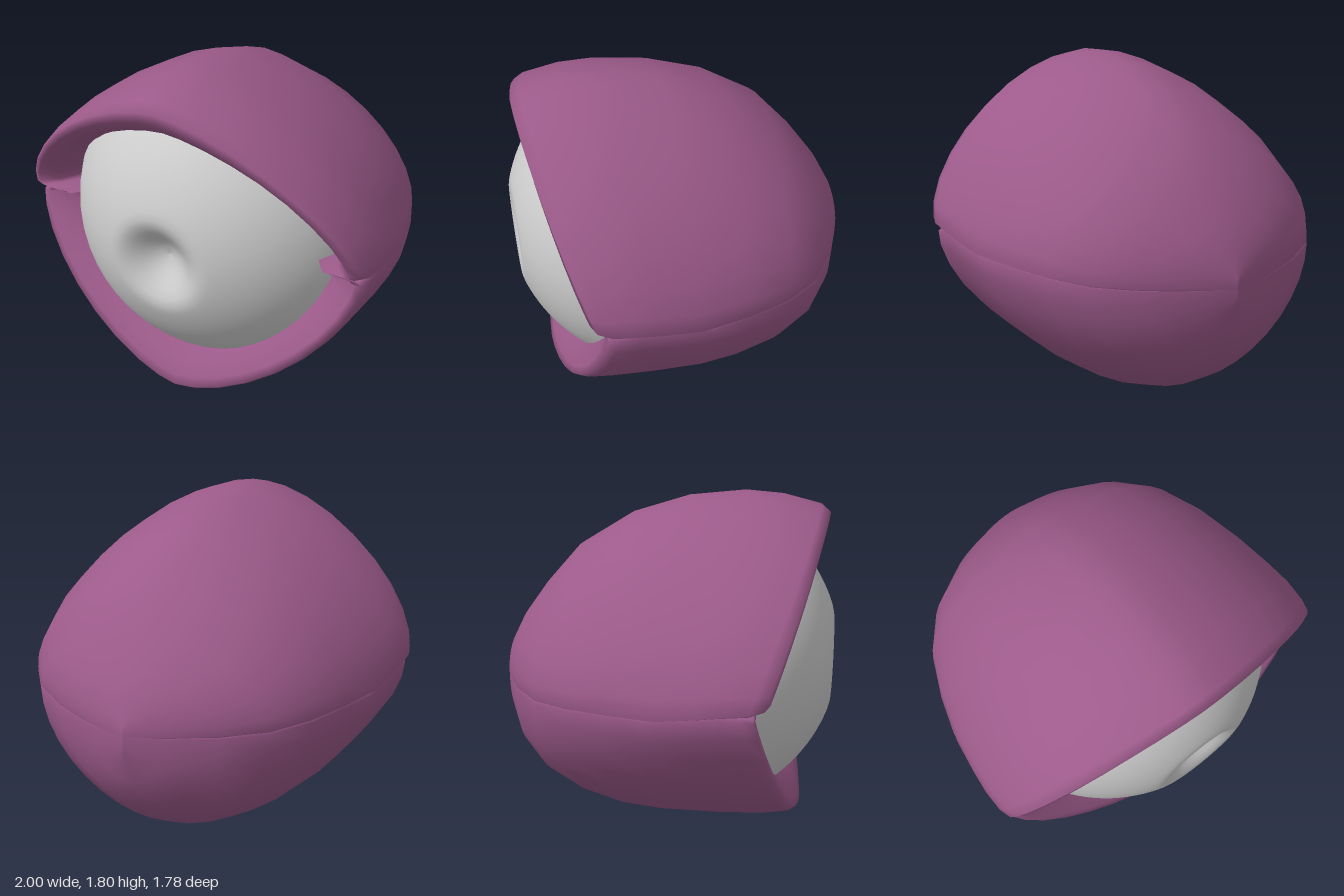
import * as THREE from 'three';

const lidMaterial = new THREE.MeshStandardMaterial({ color: 0x9c5a8a, side: THREE.DoubleSide });
const eyeMaterial = new THREE.MeshStandardMaterial({ color: 0xcccccc });

// Each ring is one tilted arch, from the inner lip over the rim to the back:
// [crown z, crown y, corner z, corner y, half width]
const UPPER_RINGS = [
  [0.50, 1.40, 0.30, 0.96, 0.74], [0.66, 1.55, 0.42, 0.98, 0.80],
  [0.76, 1.57, 0.52, 0.98, 0.86], [0.83, 1.64, 0.60, 0.98, 0.93],
  [0.845, 1.70, 0.57, 0.96, 0.975], [0.80, 1.74, 0.50, 0.94, 0.995],
  [0.60, 1.79, 0.38, 0.93, 1.0], [0.40, 1.805, 0.25, 0.91, 0.99],
  [0.10, 1.77, 0.05, 0.88, 0.965], [-0.20, 1.67, -0.20, 0.875, 0.90],
  [-0.48, 1.49, -0.42, 0.865, 0.81], [-0.66, 1.28, -0.60, 0.845, 0.67],
  [-0.78, 1.11, -0.74, 0.83, 0.46], [-0.85, 0.97, -0.84, 0.815, 0.22],
  [-0.89, 0.84, -0.89, 0.80, 0],
];
const LOWER_RINGS = [
  [0.45, 0.45, 0.30, 0.90, 0.73], [0.60, 0.28, 0.42, 0.90, 0.78],
  [0.68, 0.20, 0.48, 0.90, 0.85], [0.72, 0.12, 0.53, 0.89, 0.93],
  [0.735, 0.07, 0.52, 0.89, 0.97], [0.70, 0.04, 0.46, 0.90, 0.985],
  [0.55, 0.015, 0.36, 0.91, 0.99], [0.30, 0.005, 0.20, 0.89, 0.98],
  [0, 0.01, 0, 0.865, 0.955], [-0.20, 0.035, -0.20, 0.865, 0.90],
  [-0.42, 0.11, -0.42, 0.85, 0.81], [-0.62, 0.225, -0.60, 0.83, 0.67],
  [-0.76, 0.37, -0.74, 0.815, 0.46], [-0.84, 0.53, -0.84, 0.80, 0.22],
  [-0.89, 0.72, -0.89, 0.785, 0],
];

// Skins the arches; side is +1 for the upper lid and -1 for the lower one
function lidGeometry(rings, side) {
  const segments = 18;
  const positions = [];
  const indices = [];
  rings.forEach(([crownZ, crownY, cornerZ, cornerY, width], i) => {
    // pointed arch at the rim, rounder toward the back
    const power = 2 / (1.57 + 0.3 * THREE.MathUtils.smoothstep(i, 7, 13));
    const add = (across, rise, drop = 0) => positions.push(
      across * width * side,
      cornerY + (crownY - cornerY) * rise - drop * side,
      cornerZ + (crownZ - cornerZ) * rise,
    );
    // edges folded inward along the seam
    add(0.85, 0, 0.02);
    add(0.97, 0, 0.015);
    for (let j = 0; j <= segments; j++) {
      const angle = (j / segments) * Math.PI;
      const c = Math.cos(angle);
      add(Math.sign(c) * Math.abs(c) ** power, Math.max(0, Math.sin(angle)) ** power);
    }
    add(-0.97, 0, 0.015);
    add(-0.85, 0, 0.02);
  });
  const columns = segments + 5;
  for (let i = 0; i < rings.length - 1; i++) {
    for (let j = 0; j < columns - 1; j++) {
      const a = i * columns + j;
      const b = a + columns;
      indices.push(a, b, a + 1, a + 1, b, b + 1);
    }
  }
  const geometry = new THREE.BufferGeometry();
  geometry.setAttribute('position', new THREE.Float32BufferAttribute(positions, 3));
  geometry.setIndex(indices);
  geometry.computeVertexNormals();
  return geometry;
}

// Ball with a soft round pit at the front, narrowed behind the lids
function eyeballGeometry() {
  const profile = [];
  const steps = 64;
  for (let i = 0; i <= steps; i++) {
    const angle = Math.PI * (1 - i / steps);
    const radius = 0.85 * (1 - 0.1 * THREE.MathUtils.smoothstep(angle, 1.15, 1.7));
    const r = Math.max(0, radius * Math.sin(angle));
    const inPit = angle < 1 && r < 0.27;
    const pit = inPit ? 0.16 * (0.5 + 0.5 * Math.cos((Math.PI * r) / 0.27)) : 0;
    profile.push(new THREE.Vector2(r, radius * Math.cos(angle) - pit));
  }
  return new THREE.LatheGeometry(profile, 40).rotateX(Math.PI / 2);
}

export function createModel() {
  const model = new THREE.Group();
  model.name = 'eyeWithLids';

  const eyeball = new THREE.Mesh(eyeballGeometry(), eyeMaterial);
  eyeball.name = 'eyeball';
  eyeball.position.set(0, 0.92, 0.07);
  eyeball.rotation.set(0.02, 0.03, 0);
  model.add(eyeball);

  for (const [name, rings, side] of [['upperLid', UPPER_RINGS, 1], ['lowerLid', LOWER_RINGS, -1]]) {
    const lid = new THREE.Mesh(lidGeometry(rings, side), lidMaterial);
    lid.name = name;
    model.add(lid);
  }
  return model;
}
